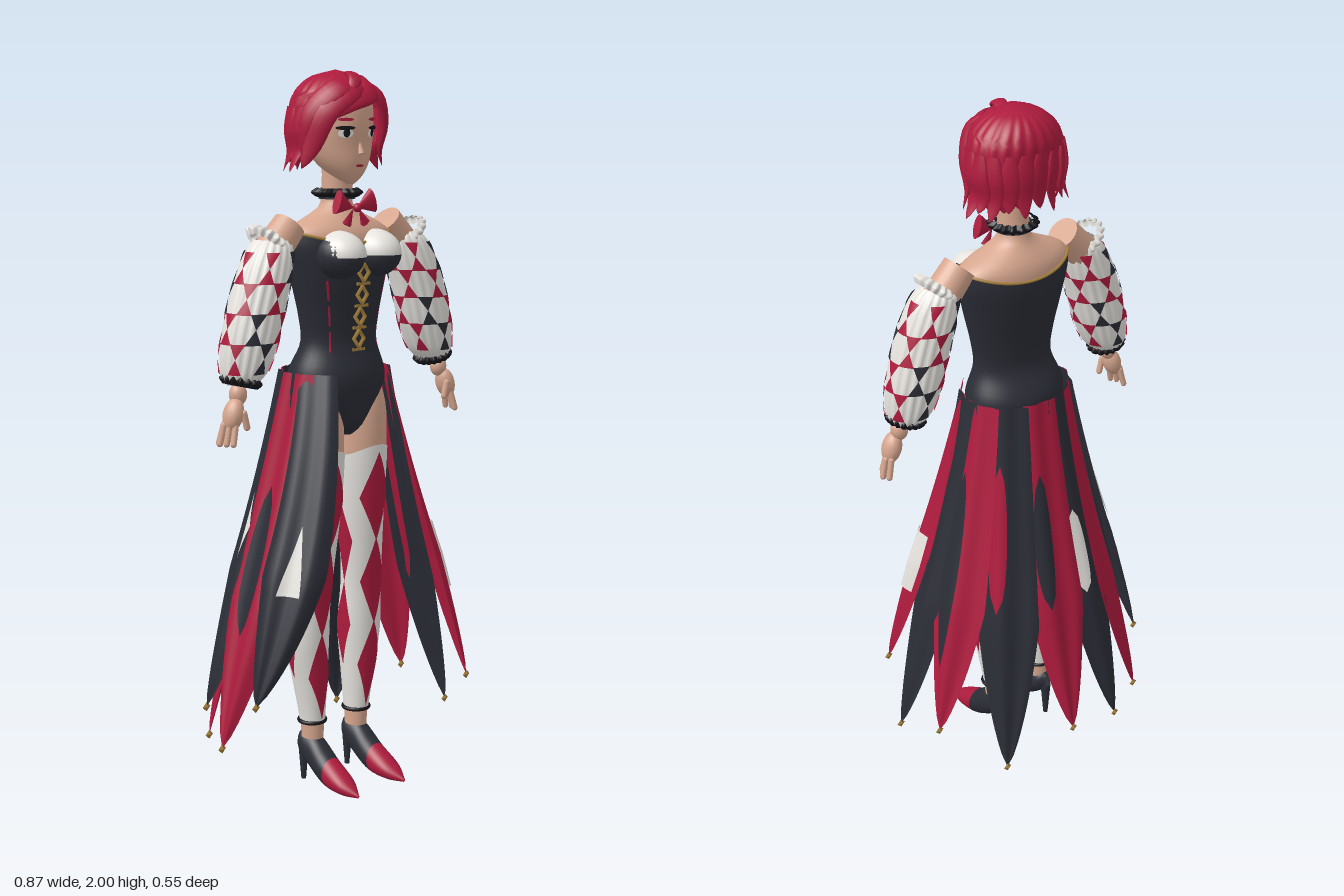
import * as THREE from 'three';
import { mergeVertices } from 'three/addons/utils/BufferGeometryUtils.js';

const { sin, cos, abs, PI } = Math;
const V = (x, y, z) => new THREE.Vector3(x, y, z);

// smooth grid surface from a rule f(s, t)
function grid(f, nu, nv) {
  const pos = [], idx = [];
  for (let j = 0; j <= nv; j++) for (let i = 0; i <= nu; i++) pos.push(...f(i / nu, j / nv).toArray());
  for (let j = 0; j < nv; j++) for (let i = 0; i < nu; i++) {
    const a = j * (nu + 1) + i, b = a + 1, c = b + nu + 1, d = a + nu + 1;
    idx.push(a, b, c, a, c, d);
  }
  let g = new THREE.BufferGeometry();
  g.setAttribute('position', new THREE.Float32BufferAttribute(pos, 3));
  g.setIndex(idx);
  g = mergeVertices(g, 1e-5);
  g.computeVertexNormals();
  return g;
}

// smooth body through rings [x, y, z, rx, rz]; angle 0 faces +z
const surf = (R, off = 0, pleats = 0, depth = 0) => (a, y) => {
  let i = 0;
  while (i < R.length - 2 && y > R[i + 1][1]) i++;
  const n = R.length - 1, h = R[i + 1][1] - R[i][1], k = Math.min(1, Math.max(0, (y - R[i][1]) / h));
  const slope = (m, j) => {
    const p = R[Math.max(0, m - 1)], q = R[Math.min(n, m + 1)];
    return (q[j] - p[j]) / (q[1] - p[1]);
  };
  const val = j => (1 + 2 * k) * (1 - k) ** 2 * R[i][j] + k * (1 - k) ** 2 * h * slope(i, j)
    + k * k * (3 - 2 * k) * R[i + 1][j] + k * k * (k - 1) * h * slope(i + 1, j);
  const w = 1 + depth * sin(pleats * a);
  return V(val(0) + (val(3) * w + off) * sin(a), y, val(2) + (val(4) * w + off) * cos(a));
};
const loft = (f, y0, y1, nv = 24, nu = 36) => grid((s, t) => f(s * 2 * PI, y0 + (y1 - y0) * t), nu, nv);

// painted shapes laid on a body
const diamond = t => 1 - abs(2 * t - 1), up = t => 1 - t, down = t => t, box = () => 1;
const oval = t => Math.sqrt(Math.max(0, 1 - (2 * t - 1) ** 2));
const patch = (f, a, y, w, h, shape) =>
  grid((s, t) => f(a + (s - 0.5) * w * shape(t), y + (t - 0.5) * h), 6, 10);

export function createModel() {
  const model = new THREE.Group();
  const mat = (name, color, side = THREE.FrontSide) => {
    const m = new THREE.MeshStandardMaterial({ color, side });
    m.name = name;
    return m;
  };
  const red = mat('crimson', 0xad1b3d, THREE.DoubleSide), black = mat('charcoal', 0x2b2d36, THREE.DoubleSide);
  const white = mat('ivory', 0xe6e3de, THREE.DoubleSide), skin = mat('skin', 0xd6a68e);
  const gold = mat('gold', 0xa8823c), dark = mat('ink', 0x15151a);
  const add = (name, geo, m, x = 0, y = 0, z = 0) => {
    const o = new THREE.Mesh(geo, m);
    o.name = name;
    o.position.set(x, y, z);
    model.add(o);
    return o;
  };
  const ball = (name, m, x, y, z, rx, ry = rx, rz = rx) =>
    add(name, new THREE.SphereGeometry(1, 20, 14), m, x, y, z).scale.set(rx, ry, rz);
  // pleated ring
  const frill = (name, m, x, y, z, r, h, tilt = 0) => {
    const f = surf([[0, -h, 0, r * 0.8, r * 0.8], [0, 0, 0, r, r], [0, h, 0, r * 0.8, r * 0.8]], 0, 16, 0.09);
    add(name, loft(f, -h, h, 6, 96), m, x, y, z).rotation.z = tilt;
  };

  // head and face
  const headR = [[0, 1.698, 0.112, 0.008, 0.01], [0, 1.715, 0.1, 0.035, 0.038], [0, 1.75, 0.08, 0.07, 0.068],
    [0, 1.8, 0.06, 0.094, 0.09], [0, 1.86, 0.055, 0.1, 0.1], [0, 1.92, 0.05, 0.095, 0.095], [0, 1.97, 0.05, 0.05, 0.05]];
  add('head', loft(surf(headR), 1.698, 1.97), skin);
  const face = o => surf(headR, o);
  for (const s of [-1, 1]) {
    add('eyeWhite', patch(face(0.002), s * 0.47, 1.832, 0.42, 0.024, oval), white);
    add('iris', patch(face(0.004), s * 0.45, 1.833, 0.18, 0.024, oval), dark);
    add('lash', patch(face(0.005), s * 0.49, 1.846, 0.52, 0.011, oval), dark);
    add('brow', patch(face(0.003), s * 0.47, 1.868, 0.44, 0.009, oval), red);
  }
  add('mouth', patch(face(0.002), 0, 1.747, 0.38, 0.008, oval), red);
  const nose = add('nose', new THREE.ConeGeometry(0.009, 0.045, 10), skin, 0, 1.8, 0.15);
  nose.rotation.x = -0.25;

  // hair cap, open over the face
  const hair = surf([[0, 1.73, 0.035, 0.105, 0.07], [0, 1.8, 0.036, 0.132, 0.086], [0, 1.87, 0.045, 0.134, 0.099],
    [0, 1.93, 0.05, 0.12, 0.105], [0, 1.98, 0.05, 0.066, 0.066], [0, 1.998, 0.05, 0, 0]], 0, 22, 0.02);
  add('hairCap', grid((s, t) => {
    const u = abs(2 * s - 1), low = 1.79 - 0.035 * sin(u * PI) + 0.012 * sin(s * 60);
    const y = low + (1.998 - low) * t;
    const open = 1.12 * Math.sqrt(Math.min(1, Math.max(0, (1.935 - y) / 0.06)));
    return hair(open + s * (2 * PI - 2 * open), y);
  }, 120, 30), red);
  // tapered locks
  const lock = (pts, w) => {
    const c = new THREE.CatmullRomCurve3(pts.map(p => V(...p)));
    add('hairLock', grid((s, t) => {
      const p = c.getPoint(t), tan = c.getTangent(t), out = p.clone().sub(V(0, 1.85, 0.05)).normalize();
      const side = tan.clone().cross(out).normalize(), r = w * Math.max(0, sin(PI * (0.15 + 0.85 * t))) ** 0.7;
      return p.addScaledVector(side, r * cos(2 * PI * s)).addScaledVector(out, -0.4 * r * sin(2 * PI * s));
    }, 12, 16), red);
  };
  for (let i = 0; i < 13; i++) {
    const a = 1.12 + i * (2 * PI - 2.24) / 12, d = 0.02 + 0.012 * (i % 2), edge = abs(cos(i * PI / 12));
    const low = 1.75 - 0.02 * (i % 2), q = hair(a, 1.79);
    lock([hair(a, 1.9).toArray(), hair(a, 1.84).toArray(), q.toArray(),
      [q.x + d * sin(a) * edge, low, q.z + 0.3 * d * cos(a)]], 0.028);
  }
  lock([[0.05, 1.975, 0.09], [-0.03, 1.945, 0.145], [-0.1, 1.89, 0.13], [-0.125, 1.8, 0.1], [-0.145, 1.74, 0.08]], 0.036);
  lock([[0.05, 1.975, 0.09], [-0.06, 1.95, 0.13], [-0.125, 1.88, 0.09], [-0.135, 1.77, 0.07]], 0.036);
  lock([[0.05, 1.975, 0.1], [0.03, 1.94, 0.152], [-0.04, 1.91, 0.153], [-0.1, 1.865, 0.125]], 0.03);
  lock([[0.03, 1.975, 0.1], [0.075, 1.93, 0.14], [0.11, 1.86, 0.12], [0.122, 1.79, 0.09], [0.145, 1.74, 0.08]], 0.034);
  lock([[0.02, 1.978, 0.06], [0, 1.985, 0.115], [-0.02, 1.965, 0.15], [-0.05, 1.925, 0.15]], 0.02);

  // neck, chest and choker
  add('neckAndChest', loft(surf([[0, 1.42, 0.06, 0.13, 0.08], [0, 1.53, 0.06, 0.163, 0.095], [0, 1.575, 0.058, 0.165, 0.088],
    [0, 1.605, 0.055, 0.11, 0.068], [0, 1.635, 0.055, 0.05, 0.048], [0, 1.68, 0.058, 0.043, 0.042],
    [0, 1.76, 0.06, 0.043, 0.042]]), 1.42, 1.76), skin);
  frill('chokerFrill', dark, 0, 1.674, 0.058, 0.066, 0.012);
  add('choker', new THREE.CylinderGeometry(0.049, 0.05, 0.022, 28, 1, true), black, 0, 1.668, 0.058);
  for (const s of [-1, 1]) {
    const loop = add('bowLoop', new THREE.ConeGeometry(0.034, 0.062, 14), red, s * 0.034, 1.644, 0.13);
    loop.rotation.z = s * (PI / 2 + 0.3);
    loop.scale.z = 0.45;
    const tail = add('bowTail', new THREE.ConeGeometry(0.018, 0.05, 4), red, s * 0.022, 1.612, 0.135);
    tail.rotation.z = s * 0.5;
    tail.scale.z = 0.4;
  }
  ball('bowKnot', red, 0, 1.636, 0.14, 0.012);

  // bodysuit
  const suitR = [[0, 1.015, 0.065, 0.02, 0.05], [0, 1.04, 0.065, 0.045, 0.08], [0, 1.09, 0.065, 0.095, 0.092],
    [0, 1.15, 0.058, 0.144, 0.11], [0, 1.19, 0.056, 0.148, 0.112], [0, 1.27, 0.065, 0.121, 0.08],
    [0, 1.34, 0.066, 0.127, 0.082], [0, 1.45, 0.064, 0.152, 0.098], [0, 1.53, 0.06, 0.17, 0.103], [0, 1.58, 0.058, 0.17, 0.094]];
  const suit = surf(suitR), rim = a => 1.545 + 0.03 * sin(a) ** 2;
  add('bodysuit', grid((s, t) => suit(s * 2 * PI, 1.015 + (rim(s * 2 * PI) - 1.015) * t), 40, 36), black);
  const rimPts = Array.from({ length: 32 }, (_, i) => suit(i * PI / 16, rim(i * PI / 16)));
  add('necklineTrim', new THREE.TubeGeometry(new THREE.CatmullRomCurve3(rimPts, true), 80, 0.004, 6, true), gold);
  for (let i = 0; i < 4; i++) {
    const p = suit(0, 1.465 - i * 0.06);
    const ring = add('lacing', new THREE.TorusGeometry(0.018, 0.006, 6, 4), gold, 0, p.y, p.z + 0.004);
    ring.scale.y = 1.3;
    add('lacingBar', new THREE.BoxGeometry(0.045, 0.007, 0.006), gold, 0, p.y - 0.03, p.z + 0.002);
  }

  for (const s of [-1, 1]) {
    // bust, with pale upper cups
    ball('bust', black, s * 0.066, 1.512, 0.135, 0.066, 0.064, 0.084);
    const cup = add('cup', new THREE.SphereGeometry(1, 24, 12, 0, 2 * PI, 0, 1.6), white, s * 0.064, 1.513, 0.136);
    cup.scale.set(0.066, 0.065, 0.087);
    for (let i = 0; i < 3; i++)
      add('sidePiping', patch(surf(suitR, 0.003), s * 0.75, 1.42 - i * 0.07, 0.05, 0.055, box), red);

    // upper arm and sleeve
    const arm = add('upperArm', new THREE.CylinderGeometry(0.046, 0.05, 0.11, 24), skin, s * 0.21, 1.553, 0.063);
    arm.rotation.z = s * 0.75;
    const slR = [[0.35, 1.19, 0.075, 0.04, 0.04], [0.342, 1.215, 0.075, 0.06, 0.058], [0.32, 1.3, 0.075, 0.076, 0.07],
      [0.292, 1.4, 0.075, 0.076, 0.071], [0.258, 1.5, 0.072, 0.069, 0.066], [0.24, 1.55, 0.068, 0.052, 0.054],
      [0.235, 1.57, 0.066, 0.03, 0.03]].map(r => [r[0] * s, ...r.slice(1)]);
    add('sleeve', loft(surf(slR, 0, 18, 0.04), 1.19, 1.56, 28, 72), white);
    const cloth = surf(slR, 0.006);
    for (let i = 0; i < 6; i++) for (let j = 0; j < 4; j++) {
      const a = i * PI / 3 + (j % 2) * PI / 6, y = 1.26 + j * 0.077, m = (i + j) % 3 ? red : black;
      add('sleeveMotif', patch(cloth, a, y + 0.02, 0.55, 0.04, down), m);
      add('sleeveMotif', patch(cloth, a, y - 0.02, 0.55, 0.04, up), m);
    }
    frill('sleeveFrill', white, s * 0.25, 1.556, 0.066, 0.061, 0.014, s * 0.7);
    frill('wristFrill', dark, s * 0.352, 1.197, 0.077, 0.054, 0.014, s * 0.25);

    // jointed hand
    ball('wrist', skin, s * 0.368, 1.165, 0.085, 0.024, 0.03, 0.024);
    const palm = add('palm', new THREE.SphereGeometry(1, 18, 12), skin, s * 0.39, 1.115, 0.092);
    palm.scale.set(0.026, 0.045, 0.03);
    palm.rotation.z = s * 0.3;
    for (let i = 0; i < 4; i++) {
      const f = add('finger', new THREE.CapsuleGeometry(0.0085, 0.05, 4, 8), skin, s * (0.422 - 0.01 * abs(i - 1)), 1.065, 0.07 + i * 0.014);
      f.rotation.set((1.5 - i) * 0.08, 0, s * 0.25);
    }
    const thumb = add('thumb', new THREE.CapsuleGeometry(0.009, 0.04, 4, 8), skin, s * 0.368, 1.1, 0.115);
    thumb.rotation.z = -s * 0.25;

    // leg, stocking and diamonds
    const legR = [[0.083, 0.15, 0.05, 0.03, 0.034], [0.084, 0.2, 0.05, 0.033, 0.036], [0.09, 0.3, 0.048, 0.045, 0.046],
      [0.098, 0.43, 0.045, 0.06, 0.057], [0.095, 0.56, 0.055, 0.056, 0.053], [0.09, 0.65, 0.062, 0.057, 0.056],
      [0.082, 0.8, 0.065, 0.066, 0.066], [0.08, 0.96, 0.066, 0.074, 0.075], [0.08, 1.08, 0.064, 0.073, 0.075],
      [0.075, 1.17, 0.062, 0.055, 0.06]].map(r => [r[0] * s, ...r.slice(1)]);
    add('leg', loft(surf(legR), 0.14, 1.17, 40), skin);
    const top = a => 0.965 + 0.015 * cos(2 * a), sock = surf(legR, 0.003);
    add('stocking', grid((u, t) => sock(u * 2 * PI, 0.19 + (top(u * 2 * PI) - 0.19) * t), 36, 40), white);
    const paint = surf(legR, 0.006);
    for (let i = 0; i < 3; i++) {
      add('stockingDiamond', patch(paint, 0, 0.83 - i * 0.25, 1.5, 0.26, diamond), red);
      if (i < 2) for (const a of [-1.6, 1.6])
        add('stockingDiamond', patch(paint, a, 0.7 - i * 0.25, 1.0, 0.25, diamond), red);
    }
    const band = add('ankleStrap', new THREE.TorusGeometry(0.037, 0.006, 8, 28), dark, s * 0.084, 0.19, 0.05);
    band.rotation.x = PI / 2;

    // heeled shoe, built along its length
    const shoe = surf([[s * 0.084, 0.004, -0.125, 0.01, 0.02], [s * 0.084, 0.02, -0.12, 0.03, 0.035],
      [s * 0.084, 0.07, -0.095, 0.036, 0.052], [s * 0.085, 0.13, -0.057, 0.038, 0.044],
      [s * 0.087, 0.2, -0.034, 0.031, 0.025], [s * 0.088, 0.25, -0.02, 0.004, 0.005]]);
    add('shoe', loft(shoe, 0.004, 0.135, 16).rotateX(PI / 2), black);
    add('shoeToe', loft(shoe, 0.135, 0.25, 16).rotateX(PI / 2), red);
    add('heel', new THREE.CylinderGeometry(0.016, 0.007, 0.11, 12), black, s * 0.084, 0.055, 0.012);
  }

  // skirt of pointed panels: [angle at hip, tip x, y, z, forward swell, colour,
  // then its patch: across, height, width, length, shape, colour]
  const panels = [
    [0.95, 0.335, 0.28, 0.25, 0.02, red, 0.7, 0.4, 0.42, 0.21, box, white],
    [1.4, 0.4, 0.15, 0.1, 0, black, 0.25, 0.74, 0.45, 0.5, oval, red],
    [1.9, 0.375, 0.22, -0.065, 0, red, 0.3, 0.5, 0.4, 0.6, oval, black],
    [2.45, 0.235, 0.1, -0.205, 0, black, 0.3, 0.65, 0.35, 0.4, oval, red],
    [3.05, 0.04, 0.19, -0.27, 0, red, 0.28, 0.6, 0.35, 0.4, oval, black],
    [-0.95, -0.385, 0.33, 0.17, 0.1, black, 0.5, 0.45, 0.4, 0.21, up, white],
    [-1.4, -0.4, 0.18, 0.04, 0, red, 0.4, 0.5, 0.4, 0.4, oval, black],
    [-1.85, -0.365, 0.26, -0.075, 0, black, 0.5, 0.55, 0.3, 0.2, diamond, white],
    [-2.35, -0.285, 0.13, -0.17, 0, red, 0.6, 0.6, 0.35, 0.45, oval, black],
    [-2.75, -0.14, 0.14, -0.25, 0, black, 0.25, 0.55, 0.3, 0.25, oval, white]];
  panels.forEach(([a, x, y, z, swell, m, across, height, wide, long, shape, spot], n) => {
    const out = V(sin(a), 0, cos(a)), side = V(cos(a), 0, -sin(a));
    const hip = V(0.15 * sin(a), 1.195, 0.05 + 0.122 * cos(a)), tip = V(x, y, z);
    const mid = hip.clone().lerp(tip, 0.5).addScaledVector(out, -0.04).add(V(0, 0, swell));
    const curve = new THREE.QuadraticBezierCurve3(hip, mid, tip);
    const cloth = off => (s, t) => {
      const d = 1 - t, q = 2 * s - 1;
      const hw = (0.052 + 0.06 * d) * Math.min(1, t / 0.4) ** 0.75;
      return curve.getPoint(d).addScaledVector(side, hw * q)
        .addScaledVector(out, off + hw * (1.15 - 0.7 * t) * (0.35 * (1 - q * q) + 0.12 * sin(q * 5 + n)));
    };
    add('skirtPanel', grid(cloth(0), 14, 28), m);
    add('panelPatch', patch(cloth(0.006), across, height, wide, long, shape), spot);
    add('tipCharm', new THREE.OctahedronGeometry(0.009), gold, x, y, z).scale.set(1.5, 1.5, 0.7);
  });

  return model;
}
